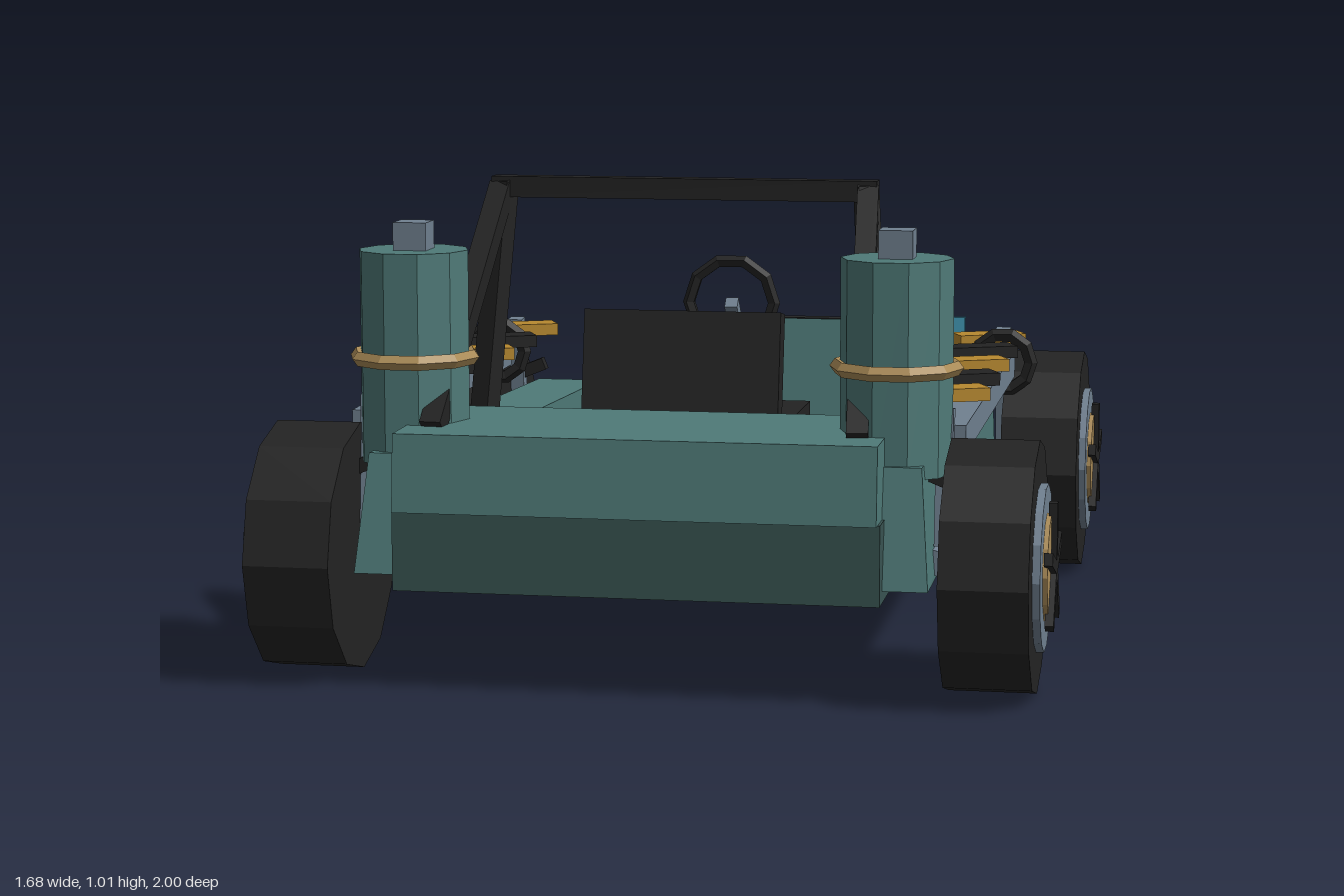
import * as THREE from 'three';

const mat = (name, color) => {
  const m = new THREE.MeshStandardMaterial({ color });
  m.name = name;
  return m;
};

export function createModel() {
  const teal = mat('teal paint', 0x4f7a78);
  const darkTeal = mat('dark teal hull', 0x395452);
  const black = mat('black', 0x232323);
  const grey = mat('steel grey', 0x708090);
  const gold = mat('gold', 0xb8892f);
  const tan = mat('tan brass', 0xab8c58);
  const blue = mat('lamp blue', 0x459fbd);

  const model = new THREE.Group();
  model.name = 'buggy';

  // Facet every geometry for the low-poly look
  const add = (name, geo, material, pos = [0, 0, 0], rot = [0, 0, 0], parent = model) => {
    const g = geo.index ? geo.toNonIndexed() : geo;
    g.computeVertexNormals();
    const mesh = new THREE.Mesh(g, material);
    mesh.name = name;
    mesh.position.set(...pos);
    mesh.rotation.set(...rot);
    parent.add(mesh);
    return mesh;
  };
  const box = (name, size, material, pos, rot, parent) =>
    add(name, new THREE.BoxGeometry(...size), material, pos, rot, parent);

  // Six-sided block whose corners are placed by a rule on the corner signs
  const block = (name, material, rule) => {
    const g = new THREE.BoxGeometry(2, 2, 2);
    const p = g.attributes.position;
    for (let i = 0; i < p.count; i++) p.setXYZ(i, ...rule(p.getX(i), p.getY(i), p.getZ(i)));
    return add(name, g, material);
  };

  // Square bar between two points
  const bar = (name, a, b, t, material) => {
    const A = new THREE.Vector3(...a), B = new THREE.Vector3(...b);
    const mesh = box(name, [t, t, A.distanceTo(B)], material);
    mesh.position.copy(A).add(B).multiplyScalar(0.5);
    mesh.lookAt(B);
    return mesh;
  };

  // Hull, rear deck and hood
  box('floorHull', [1, 0.165, 1.84], darkTeal, [0, 0.2925, 0.025]);
  block('rearDeck', teal, (x, y, z) => [x * 0.495, y > 0 ? 0.535 : 0.375, z > 0 ? (y > 0 ? 0.95 : 0.965) : 0.545]);
  block('hood', teal, (x, y, z) => z > 0
    ? (y > 0 ? [x * 0.275, 0.625, -0.375] : [x * 0.31, 0.37, -0.335])
    : (y > 0 ? [x * 0.112, 0.552, -0.905] : [x * 0.13, 0.355, -0.938]));

  // Grille with slats
  const grille = new THREE.Group();
  grille.name = 'grille';
  grille.position.set(0, 0.475, -0.965);
  grille.rotation.x = 0.05;
  model.add(grille);
  box('grillePlate', [0.35, 0.165, 0.03], black, [0, 0, 0], [0, 0, 0], grille);
  for (let i = -2; i <= 2; i++)
    box('grilleSlat', [0.022, 0.12, 0.016], grey, [i * 0.062, 0, -0.022], [0, 0, 0], grille);

  // Seat
  box('seatCushion', [0.43, 0.1, 0.42], black, [0, 0.425, 0.155]);
  const back = new THREE.Group();
  back.name = 'seatBack';
  back.position.set(0, 0.587, 0.385);
  back.rotation.x = -0.18;
  model.add(back);
  box('backrest', [0.43, 0.28, 0.06], black, [0, 0, 0], [0, 0, 0], back);
  box('backrestPanel', [0.33, 0.21, 0.018], teal, [0, 0.01, -0.036], [0, 0, 0], back);

  // Steering wheel
  add('steeringWheel', new THREE.TorusGeometry(0.1, 0.015, 5, 10), black, [0, 0.675, -0.25]);
  bar('steeringColumn', [0, 0.675, -0.25], [0, 0.53, -0.38], 0.03, grey);

  // Roll bar top
  box('rollBarTop', [0.84, 0.045, 0.045], black, [0, 0.992, 0.365]);

  const wheel = (s, z) => {
    const w = new THREE.Group();
    w.name = z > 0 ? 'rearWheel' : 'frontWheel';
    w.position.set(s * 0.62, 0.262, z);
    model.add(w);
    const disc = (name, r, from, to, n, m) => add(name, new THREE.CylinderGeometry(r, r, to - from, n),
      m, [s * (from + to) / 2, 0, 0], [0, 0, Math.PI / 2], w);
    disc('tyre', 0.262, 0, 0.18, 12, black);
    disc('rim', 0.172, 0.17, 0.196, 14, grey);
    disc('hubDisc', 0.113, 0.19, 0.206, 12, tan);
    for (let i = 0; i < 5; i++) {
      const a = i * Math.PI * 2 / 5;
      box('spoke', [0.018, 0.135, 0.026], black,
        [s * 0.209, Math.cos(a) * 0.068, Math.sin(a) * 0.068], [a, 0, 0], w);
    }
  };

  for (const s of [1, -1]) {
    // Tapered side pod
    block('sidePod', teal, (x, y, z) => {
      const outer = x * s > 0;
      const px = outer ? (y > 0 ? 0.572 : z > 0 ? 0.592 : 0.57) : 0.415;
      const py = y > 0 ? (z > 0 ? 0.478 : 0.415) : (z > 0 ? 0.235 : 0.212);
      return [s * px, py, z > 0 ? (y > 0 ? 0.85 : 0.905) : (y > 0 ? -0.73 : -0.835)];
    });

    // Wheels with suspension arms and struts
    for (const z of [0.74, -0.655]) {
      wheel(s, z);
      bar('lowerArm', [s * 0.48, 0.3, z], [s * 0.64, 0.255, z], 0.05, grey);
      bar('upperArm', [s * 0.54, 0.465, z], [s * 0.64, 0.425, z], 0.03, black);
      bar('strut', [s * 0.605, 0.3, z], [s * 0.605, 0.58, z > 0 ? 0.71 : -0.625], 0.035, grey);
    }

    // Side rail with slanted plates
    box('sideRail', [0.065, 0.06, 1.18], grey, [s * 0.614, 0.515, 0.12]);
    for (let i = 0; i < 5; i++)
      box('railPlate', [0.165, 0.028, 0.075], i % 2 ? black : gold,
        [s * 0.575, 0.563, -0.557 + i * 0.234], [0, 0.44, 0]);
    add('railRing', new THREE.TorusGeometry(0.066, 0.017, 5, 10), black, [s * 0.617, 0.518, -0.477]);

    // Rear canister
    add('canister', new THREE.CylinderGeometry(0.116, 0.116, 0.44, 10), teal,
      [s * 0.505, 0.668, 0.725], [0, Math.PI / 2, 0]);
    add('canisterBand', new THREE.TorusGeometry(0.122, 0.016, 5, 10), tan,
      [s * 0.505, 0.665, 0.725], [Math.PI / 2, 0, 0]);
    box('canisterCap', [0.07, 0.06, 0.07], grey, [s * 0.505, 0.916, 0.725]);

    // Roll bar legs and braces
    bar('rollBarLeg', [s * 0.395, 1.0, 0.368], [s * 0.43, 0.45, 0.45], 0.045, black);
    bar('rollBarBrace', [s * 0.4, 0.99, 0.37], [s * 0.44, 0.53, 0.84], 0.045, black);

    // Headlamp and floor lever
    box('headlamp', [0.172, 0.082, 0.022], blue, [s * 0.392, 0.522, -0.976]);
    bar('floorLever', [s * 0.3, 0.45, -0.28], [s * 0.345, 0.37, -0.243], 0.022, grey);
  }
  return model;
}
